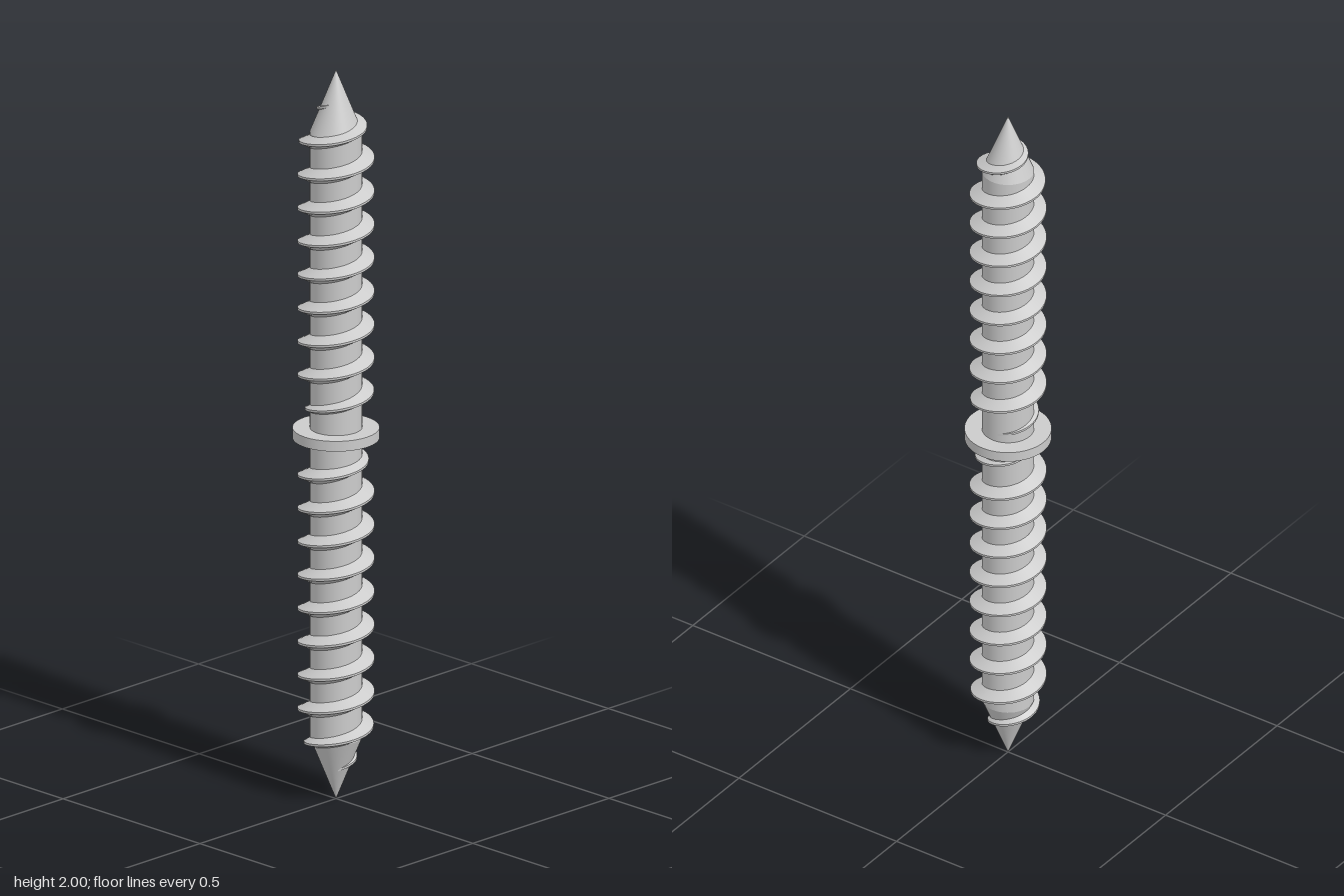
import * as THREE from 'three';

const SHANK = 0.068, CREST = 0.1, TIP = 0.17, PITCH = 0.0915, START = 0.145;

// Radius of the smooth core at height y (cylinder with a cone at each end)
const coreRadius = (y) => SHANK * THREE.MathUtils.clamp(Math.min(y, 2 - y) / TIP, 0, 1);

// Radius of the thread crest, fading into the core between y0..y0+inFade and y1-outFade..y1
function crestRadius(y, y0, y1, fade0, fade1) {
  const k = THREE.MathUtils.clamp(Math.min((y - y0) / fade0, (y1 - y) / fade1), 0, 1);
  const core = coreRadius(y);
  return core + k * (CREST - core);
}

// Helical ridge with a blunt triangular section, swept from y0 to y1
function threadGeometry(y0, y1, fade0, fade1) {
  const steps = Math.round((y1 - y0) / PITCH * 64);
  const section = (y) => {
    const crest = crestRadius(y, y0, y1, fade0, fade1);
    const k = (crest - coreRadius(y)) / (CREST - SHANK);
    const root = 0.004 + 0.018 * Math.min(k, 1), tip = 0.003;
    const r = (h) => Math.max(coreRadius(h) - 0.004, 0.002);
    return [[r(y - root), y - root], [crest, y - tip], [crest, y + tip], [r(y + root), y + root]];
  };
  const position = [], index = [];
  // each flank has its own vertices so that the edges stay sharp
  for (let side = 0; side < 3; side++) {
    const base = position.length / 3;
    for (let i = 0; i <= steps; i++) {
      const y = y0 + (y1 - y0) * i / steps;
      const a = (y - START) / PITCH * Math.PI * 2;
      const s = section(y);
      for (const [r, h] of [s[side], s[side + 1]]) position.push(-r * Math.cos(a), h, r * Math.sin(a));
      if (i < steps) {
        const p = base + i * 2;
        index.push(p, p + 2, p + 1, p + 1, p + 2, p + 3);
      }
    }
  }
  const g = new THREE.BufferGeometry();
  g.setAttribute('position', new THREE.Float32BufferAttribute(position, 3));
  g.setIndex(index);
  g.computeVertexNormals();
  return g;
}

export function createModel() {
  const model = new THREE.Group();
  model.name = 'doubleEndedScrew';
  const material = new THREE.MeshStandardMaterial({ color: 0xcccccc });
  const add = (name, geometry, y = 0) => {
    const mesh = new THREE.Mesh(geometry, material);
    mesh.name = name;
    mesh.position.y = y;
    model.add(mesh);
  };

  // Core
  add('shank', new THREE.CylinderGeometry(SHANK, SHANK, 2 - 2 * TIP, 64, 1, true), 1);
  add('upperTip', new THREE.ConeGeometry(SHANK, TIP, 64, 8, true), 2 - TIP / 2);
  add('lowerTip', new THREE.ConeGeometry(SHANK, TIP, 64, 8, true).rotateX(Math.PI), TIP / 2);

  // Flange between the two threaded halves
  add('flange', new THREE.CylinderGeometry(0.113, 0.113, 0.028, 64), 1.005);

  // Threads
  add('upperThread', threadGeometry(1.04, 1.91, 0.08, 0.12));
  add('lowerThread', threadGeometry(0.09, 0.968, 0.12, 0.065));
  return model;
}
